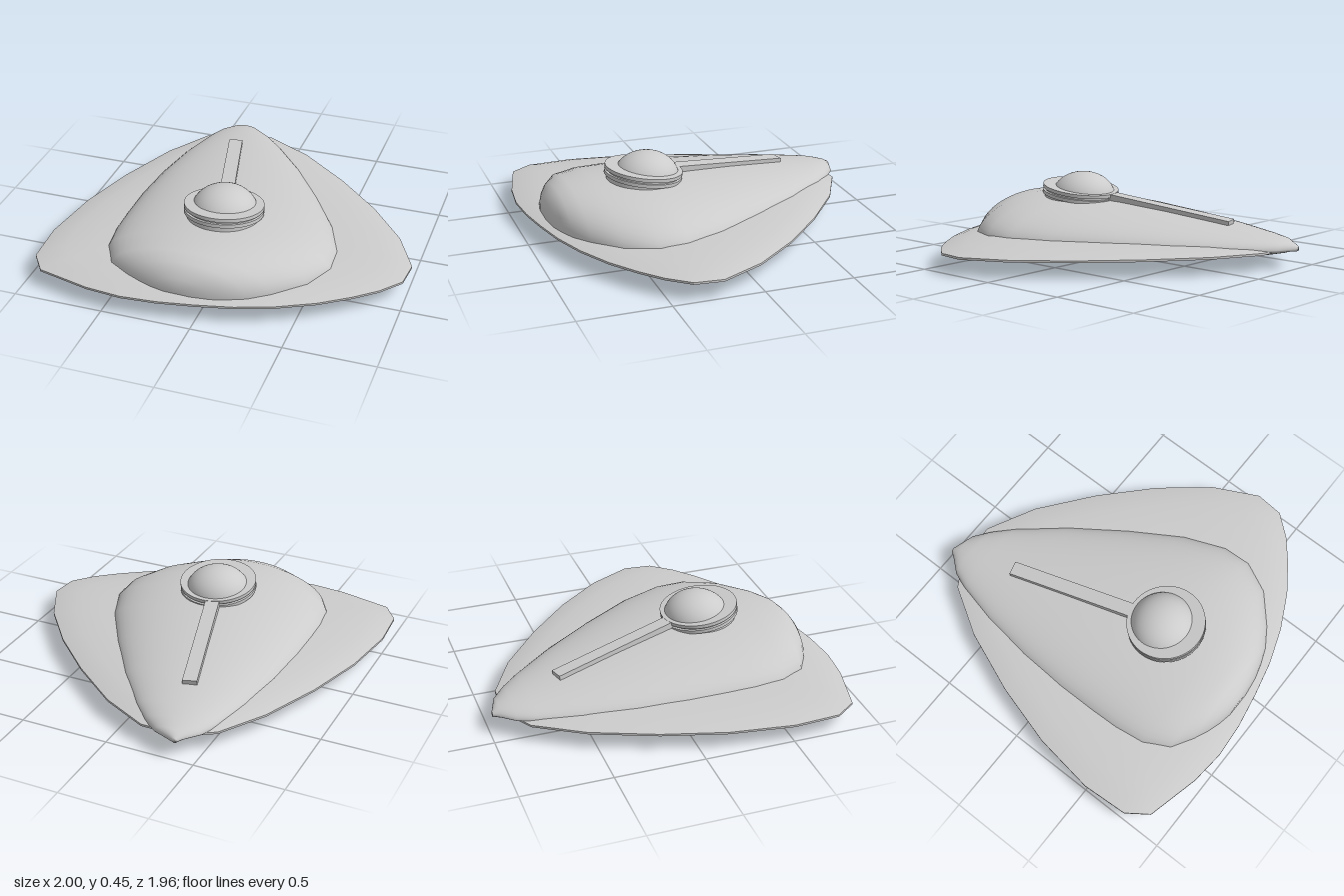
import * as THREE from 'three';
import { toCreasedNormals } from 'three/addons/utils/BufferGeometryUtils.js';

const material = new THREE.MeshStandardMaterial({ color: 0xcccccc });

function add(parent, name, geometry, x = 0, y = 0, z = 0) {
  const mesh = new THREE.Mesh(geometry, material);
  mesh.name = name;
  mesh.position.set(x, y, z);
  parent.add(mesh);
  return mesh;
}

// Skin closed rings of equal length and cap both ends
function loft(rings) {
  const n = rings[0].length, last = rings.length - 1;
  const points = rings.flat(), index = [];
  const centre = (ring) => ring.reduce((s, p) => s.map((v, k) => v + p[k] / n), [0, 0, 0]);
  const first = points.push(centre(rings[0])) - 1;
  const end = points.push(centre(rings[last])) - 1;
  for (let j = 0; j < n; j++) {
    const k = (j + 1) % n;
    for (let i = 0; i < last; i++) {
      const a = i * n + j, b = i * n + k, c = a + n, d = b + n;
      index.push(a, c, b, b, c, d);
    }
    index.push(first, j, k, end, last * n + k, last * n + j);
  }
  const geometry = new THREE.BufferGeometry();
  geometry.setAttribute('position', new THREE.Float32BufferAttribute(points.flat(), 3));
  geometry.setIndex(index);
  geometry.computeVertexNormals();
  return geometry;
}

// Hull stations, front to back: z, right x, left x, top y, belly y
const stations = [
  [0.885, -0.19, -0.04, 0.17, 0.085],
  [0.87, -0.27, 0.07, 0.205, 0.08],
  [0.845, -0.35, 0.16, 0.24, 0.075],
  [0.81, -0.43, 0.25, 0.27, 0.068],
  [0.74, -0.55, 0.36, 0.295, 0.055],
  [0.6, -0.63, 0.52, 0.308, 0.038],
  [0.43, -0.655, 0.605, 0.309, 0.026],
  [0.27, -0.66, 0.6, 0.304, 0.02],
  [0.04, -0.66, 0.51, 0.287, 0.02],
  [-0.24, -0.64, 0.34, 0.255, 0.023],
  [-0.53, -0.595, 0.14, 0.215, 0.032],
  [-0.77, -0.53, -0.06, 0.18, 0.052],
  [-0.87, -0.49, -0.16, 0.163, 0.07],
  [-0.94, -0.43, -0.25, 0.145, 0.085],
  [-0.98, -0.4, -0.37, 0.118, 0.098],
];

// Oval cross-sections with separate heights above and below the base line
function hull(scale, topOf, bottomOf, base = 0.105, sides = 48) {
  return loft(stations.map((s) => {
    const mid = (s[1] + s[2]) / 2, half = (s[2] - s[1]) / 2 * scale;
    return Array.from({ length: sides }, (_, j) => {
      const a = j / sides * Math.PI * 2, up = Math.sin(a);
      const reach = up > 0 ? topOf(s) - base : base - bottomOf(s);
      return [mid + half * Math.cos(a), base + reach * up, s[0]];
    });
  }));
}

// Wing outline, x and z
const outline = [
  [-0.16, -0.91], [0.11, -0.77], [0.4, -0.54], [0.66, -0.29], [0.87, -0.03], [0.995, 0.22],
  [0.98, 0.38], [0.88, 0.5], [0.76, 0.6], [0.6, 0.71], [0.4, 0.81], [0.2, 0.88], [0, 0.925],
  [-0.2, 0.96], [-0.4, 0.975], [-0.6, 0.955], [-0.9, 0.88], [-0.985, 0.76], [-1, 0.5],
  [-0.95, 0.15], [-0.85, -0.2], [-0.71, -0.55], [-0.55, -0.81], [-0.45, -0.87], [-0.32, -0.91],
].reverse();

// Wing section: outline scale and height, from top centre round to bottom centre
const wingSection = [
  [0.1, 0.15], [0.45, 0.148], [0.7, 0.141], [0.85, 0.13], [0.94, 0.117], [1, 0.102],
  [1, 0.09], [0.9, 0.08], [0.75, 0.071], [0.55, 0.062], [0.1, 0.055],
];

export function createModel() {
  const model = new THREE.Group();
  model.name = 'saucer';

  const wing = loft(wingSection.map(([s, y]) =>
    outline.map(([x, z]) => [-0.1 + (x + 0.1) * s, y, 0.1 + (z - 0.1) * s])));
  add(model, 'wing', toCreasedNormals(wing, 0.6));
  add(model, 'upperHull', hull(1, (s) => s[3], () => 0.09));
  add(model, 'belly', hull(0.88, () => 0.115, (s) => s[4]));

  // Cockpit dome and the small bulge beneath it
  add(model, 'dome', new THREE.SphereGeometry(0.185, 48, 24), -0.05, 0.3, 0.3).scale.y = 0.79;
  add(model, 'underBulge', new THREE.SphereGeometry(0.11, 32, 16), -0.045, 0.03, 0.315).scale.y = 0.27;

  // Collar rings and spine share one plane, tilted up at the front
  const collar = new THREE.Group();
  collar.name = 'collar';
  collar.position.set(-0.045, 0.349, 0.315);
  collar.rotation.x = -0.14;
  model.add(collar);
  const disc = (r, h) => toCreasedNormals(new THREE.CylinderGeometry(r, r, h, 64), 0.6);
  add(collar, 'upperRing', disc(0.22, 0.02));
  add(collar, 'lowerRing', disc(0.22, 0.02), 0, -0.032, 0);
  add(collar, 'collarCore', disc(0.205, 0.07), 0, -0.036, 0);
  const spine = add(collar, 'spine', new THREE.BoxGeometry(0.08, 0.035, 0.76), -0.148, -0.009, -0.555);
  spine.rotation.y = 0.26;

  return model;
}
